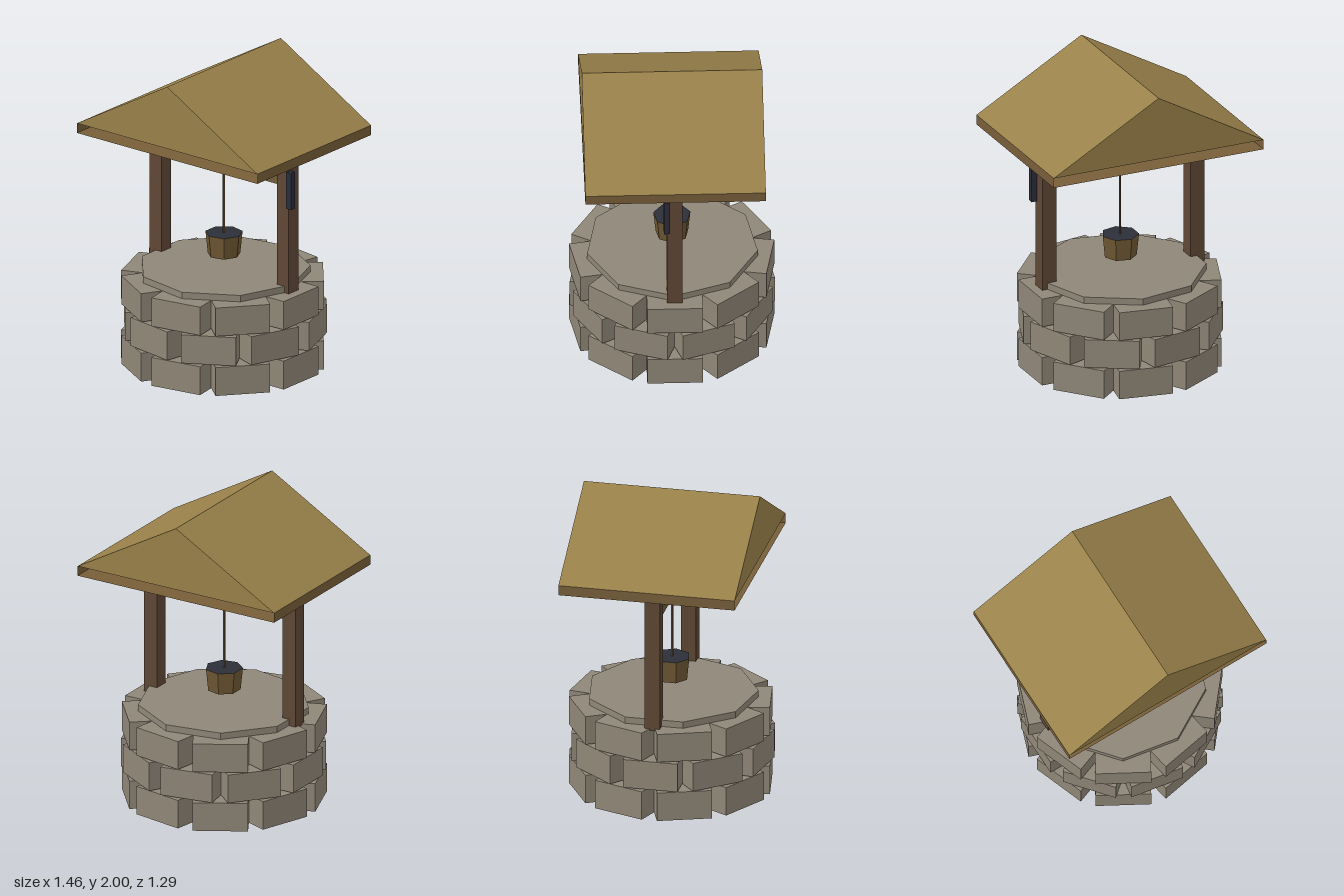
import * as THREE from 'three';

const mat = (name, color, extra = {}) => {
  const m = new THREE.MeshStandardMaterial({ color, flatShading: true, ...extra });
  m.name = name;
  return m;
};

export function createModel() {
  const stone = mat('stone', 0x8f8677);
  const postWood = mat('postWood', 0x5f4735);
  const beamWood = mat('beamWood', 0x6f5d37);
  const bucketWood = mat('bucketWood', 0x6f5833);
  const ropeBrown = mat('rope', 0x6b5138);
  const dark = mat('dark', 0x2c2e39, { side: THREE.DoubleSide });
  const thatch = mat('thatch', 0x99814a, { side: THREE.DoubleSide });
  const fascia = mat('fascia', 0x775e39, { side: THREE.DoubleSide });

  const well = new THREE.Group();
  well.name = 'well';

  const add = (name, geometry, material, x = 0, y = 0, z = 0, parent = well) => {
    const mesh = new THREE.Mesh(geometry, material);
    mesh.name = name;
    mesh.position.set(x, y, z);
    parent.add(mesh);
    return mesh;
  };

  // Box given by its lower and upper corners
  const box = (name, material, [x0, y0, z0], [x1, y1, z1]) =>
    add(name, new THREE.BoxGeometry(x1 - x0, y1 - y0, z1 - z0), material,
      (x0 + x1) / 2, (y0 + y1) / 2, (z0 + z1) / 2);

  // Faceted drum with one corner on +x
  const drum = (name, material, rTop, rBottom, y0, y1, sides, open = false) =>
    add(name, new THREE.CylinderGeometry(rTop, rBottom, y1 - y0, sides, 1, open, Math.PI / 2),
      material, 0, (y0 + y1) / 2, 0);

  // Wall: three staggered rings of nine blocks
  const wall = new THREE.Group();
  wall.name = 'stoneWall';
  well.add(wall);
  const outer = 0.625, depth = 0.215, count = 9;
  const block = new THREE.BoxGeometry(0.35, 0.19, depth);
  for (let course = 0; course < 3; course++) {
    for (let i = 0; i < count; i++) {
      const a = Math.PI / 2 + ((i + (course % 2) / 2) / count) * Math.PI * 2;
      const r = outer - depth / 2;
      add('stoneBlock', block, stone, r * Math.sin(a), 0.097 + course * 0.2, r * Math.cos(a), wall)
        .rotation.y = a;
    }
  }

  // Dark lining of the shaft and the stone lid
  drum('shaftLining', dark, 0.415, 0.415, 0.002, 0.59, 9, true);
  drum('lid', stone, 0.545, 0.545, 0.585, 0.635, 9);

  // Posts, beam and crank
  for (const [side, name] of [[-1, 'rightPost'], [1, 'leftPost']]) {
    add(name, new THREE.BoxGeometry(0.097, 1.02, 0.097), postWood, side * 0.515, 1.09, 0);
  }
  box('beam', beamWood, [-0.48, 1.298, -0.026], [0.48, 1.35, 0.026]);
  box('crank', dark, [0.56, 1.17, 0.03], [0.6, 1.415, 0.07]);

  // Rope and bucket
  drum('rope', ropeBrown, 0.008, 0.008, 0.84, 1.31, 5);
  drum('bucket', [bucketWood, dark, bucketWood], 0.12, 0.105, 0.715, 0.86, 7);

  // Hollow roof of flat panels, open along the gable bottoms
  const panel = (name, material, points) => {
    const triangles = [];
    for (let i = 1; i < points.length - 1; i++) {
      triangles.push(...points[0], ...points[i], ...points[i + 1]);
    }
    const g = new THREE.BufferGeometry();
    g.setAttribute('position', new THREE.Float32BufferAttribute(triangles, 3));
    g.computeVertexNormals();
    add(name, g, material);
  };
  const w = 0.73, d = 0.568, ridge = 2, eave = 1.585, base = 1.52;
  for (const s of [1, -1]) {
    // s = -1 turns each panel half a circle about y
    const turn = (pts) => pts.map(([x, y, z]) => [s * x, y, s * z]);
    panel('roofSlope', thatch, turn([[w, eave, d], [w, eave, -d], [0, ridge, -d], [0, ridge, d]]));
    panel('gable', thatch, turn([[-w, eave, d], [w, eave, d], [0, ridge, d]]));
    panel('eaveBoard', fascia, turn([[w, base, d], [w, base, -d], [w, eave, -d], [w, eave, d]]));
  }
  panel('roofFloor', fascia, [[-w, base, -d], [w, base, -d], [w, base, d], [-w, base, d]]);

  return well;
}
